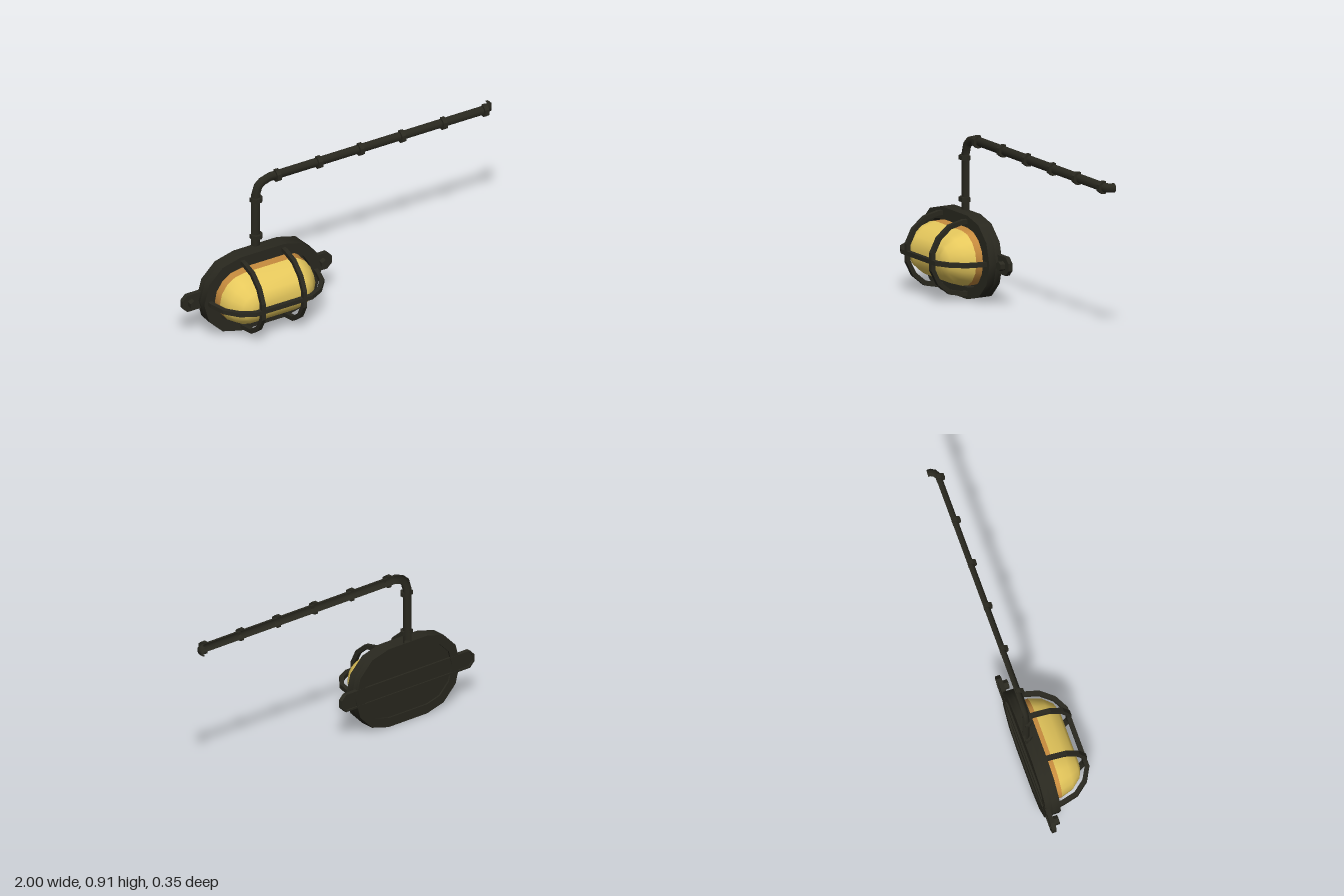
import * as THREE from 'three';
import { toCreasedNormals } from 'three/addons/utils/BufferGeometryUtils.js';

const CX = -0.522, CY = 0.235, BACK = -0.14, HALF = 0.14;

// Stadium outline, counter-clockwise: two half circles joined by straight runs
function stadium(r, segs) {
  const pts = [];
  for (const side of [1, -1]) {
    for (let i = 0; i <= segs; i++) {
      const a = -Math.PI / 2 + (Math.PI * i) / segs;
      pts.push(new THREE.Vector2(side * (HALF + r * Math.cos(a)), side * r * Math.sin(a)));
    }
  }
  return pts;
}

// Skin rings of equal length; 'solid' is flat and capped, 'tube' is smooth, 'open' is smooth and unclosed
function loft(rings, kind) {
  const n = rings[0].length, idx = [];
  for (let j = 0; j < rings.length - 1; j++) {
    for (let i = 0; i < (kind === 'open' ? n - 1 : n); i++) {
      const k = (i + 1) % n, a = j * n + i, b = j * n + k;
      idx.push(a, b, b + n, a, b + n, a + n);
    }
  }
  if (kind === 'solid') {
    const e = (rings.length - 1) * n;
    for (let i = 1; i < n - 1; i++) idx.push(0, i + 1, i, e, e + i, e + i + 1);
  }
  let g = new THREE.BufferGeometry().setFromPoints(rings.flat());
  g.setIndex(idx);
  if (kind === 'solid') g = g.toNonIndexed();
  g.computeVertexNormals();
  return g;
}

// Sweep a profile along a planar path with mitred corners; axis is the plane normal
function sweep(path, profile, axis, kind) {
  const pts = path.map(p => new THREE.Vector3(...p));
  const normals = pts.slice(1).map((p, i) =>
    new THREE.Vector3().crossVectors(axis, p.clone().sub(pts[i]).normalize()));
  const rings = pts.map((p, i) => {
    const n1 = normals[Math.max(0, i - 1)], n2 = normals[Math.min(i, normals.length - 1)];
    const m = n1.clone().add(n2).divideScalar(1 + n1.dot(n2));
    return profile.map(([u, v]) => p.clone().addScaledVector(m, u).addScaledVector(axis, v));
  });
  return loft(rings, kind);
}

// Half-round section lying on the wall
const halfRound = (w, d) =>
  [[w, 0], [w, d * 0.5], [w * 0.5, d], [-w * 0.5, d], [-w, d * 0.5], [-w, 0]];

// Strap outline: a rectangle with chamfered corners
const strapOutline = (w, h, c) => [[-w, -h + c], [-w + c, -h], [w - c, -h], [w, -h + c],
  [w, h - c], [w - c, h], [-w + c, h], [-w, h - c]].map(p => new THREE.Vector2(...p));

export function createModel() {
  const root = new THREE.Group();
  root.name = 'wallLamp';
  const metal = new THREE.MeshStandardMaterial({ color: 0x29281f, side: THREE.DoubleSide });
  metal.name = 'darkMetal';
  const glassYellow = new THREE.MeshStandardMaterial({ color: 0xe6c85c });
  glassYellow.name = 'yellowGlass';
  const amber = new THREE.MeshStandardMaterial({ color: 0xc88c3e });
  amber.name = 'amberGlass';

  const add = (name, geometry, material, x = 0, y = 0, z = 0) => {
    const m = new THREE.Mesh(geometry, material);
    m.name = name;
    m.position.set(x, y, z);
    root.add(m);
    return m;
  };
  const extrude = (shape, depth) => new THREE.ExtrudeGeometry(shape, { depth, bevelEnabled: false });
  const frame = (outer, inner, depth) => {
    const shape = new THREE.Shape(outer);
    shape.holes.push(new THREE.Path(inner.reverse()));
    return extrude(shape, depth);
  };

  // Housing: back plate, front ring with a well for the glass, and a raised rim on the back
  const outline = () => stadium(0.235, 6);
  const creased = g => toCreasedNormals(g, 0.6);
  add('backPlate', creased(extrude(new THREE.Shape(outline()), 0.03)), metal, CX, CY, -0.13);
  add('housingRing', creased(frame(outline(), stadium(0.168, 8), 0.045)), metal, CX, CY, -0.1);
  add('backRim', creased(frame(outline(), stadium(0.18, 6), 0.0095)), metal, CX, CY, -0.1395);

  // Mounting strap with a raised edge on the back, and its bolts
  add('mountingStrap', extrude(new THREE.Shape(strapOutline(0.477, 0.052, 0.03)), 0.018), metal, CX, CY, -0.133);
  add('strapEdge', frame(strapOutline(0.477, 0.052, 0.03), strapOutline(0.467, 0.042, 0.026), 0.008),
    metal, CX, CY, -0.141);
  for (const s of [-1, 1]) {
    const bolt = add('bolt', new THREE.CylinderGeometry(0.027, 0.027, 0.032, 6).toNonIndexed(), metal,
      CX + s * 0.42, CY, -0.101);
    bolt.geometry.computeVertexNormals();
    bolt.rotation.x = Math.PI / 2;
  }

  // Glass: straight amber collar, then a rounded yellow dome
  const glassRing = ([r, z]) => stadium(r, 8).map(p => new THREE.Vector3(p.x, p.y, z));
  add('glassCollar', loft([[0.155, -0.1], [0.155, -0.02]].map(glassRing), 'tube'), amber, CX, CY);
  const dome = [[0.155, -0.02], [0.132, 0.052], [0.085, 0.106], [0.04, 0.124], [0, 0.125]];
  add('glassDome', loft(dome.map(glassRing), 'tube'), glassYellow, CX, CY);

  // Guard cage: two upright hoops and one lengthwise hoop
  const b = 0.0125, square = [[-b, -b], [b, -b], [b, b], [-b, b]];
  const hoop = half => [...half, ...half.slice().reverse().map(([s, z]) => [-s, z])];
  const upright = hoop([[0.202, -0.06], [0.202, -0.03], [0.183, 0.055], [0.125, 0.125], [0.047, 0.165]]);
  const lengthwise = hoop([[0.338, -0.06], [0.335, -0.03], [0.312, 0.055], [0.254, 0.125], [0.178, 0.165]]);
  for (const x of [-0.132, 0.132]) {
    add('uprightHoop', sweep(upright.map(([s, z]) => [x, s, z]), square, new THREE.Vector3(1, 0, 0), 'solid'),
      metal, CX, CY);
  }
  add('lengthwiseHoop', sweep(lengthwise.map(([s, z]) => [s, 0, z]), square, new THREE.Vector3(0, 1, 0), 'solid'),
    metal, CX, CY);

  // Conduit, open towards the wall: up from the housing, round the bend and along
  const Y = 0.877, pipe = halfRound(0.0248, 0.029);
  add('conduit', sweep([[CX, 0.46, BACK], [CX, 0.79, BACK], [-0.506, 0.841, BACK], [-0.483, 0.861, BACK],
    [-0.433, Y, BACK], [0.935, Y, BACK]], pipe, new THREE.Vector3(0, 0, 1), 'open'), metal);

  // Conduit end turning back into the wall
  add('conduitEnd', sweep([[0.93, Y, BACK], [0.948, Y, -0.141], [0.963, Y, -0.149], [0.971, Y, -0.163],
    [0.971, Y, -0.176]], pipe.map(([u, v]) => [v, -u]), new THREE.Vector3(0, -1, 0), 'open'), metal);

  // Pipe clamps: half rings around the conduit
  const ring = new THREE.Shape([...halfRound(0.035, 0.045), ...pipe.slice().reverse()]
    .map(p => new THREE.Vector2(...p)));
  const clamp = extrude(ring, 0.025).translate(0, 0, -0.0125).rotateX(Math.PI / 2);
  for (const y of [0.53, 0.765]) add('clamp', clamp, metal, CX, y, BACK);
  for (let i = 0; i < 6; i++) {
    add('clamp', clamp, metal, -0.39 + i * 0.2655, Y, BACK).rotation.z = Math.PI / 2;
  }
  return root;
}
